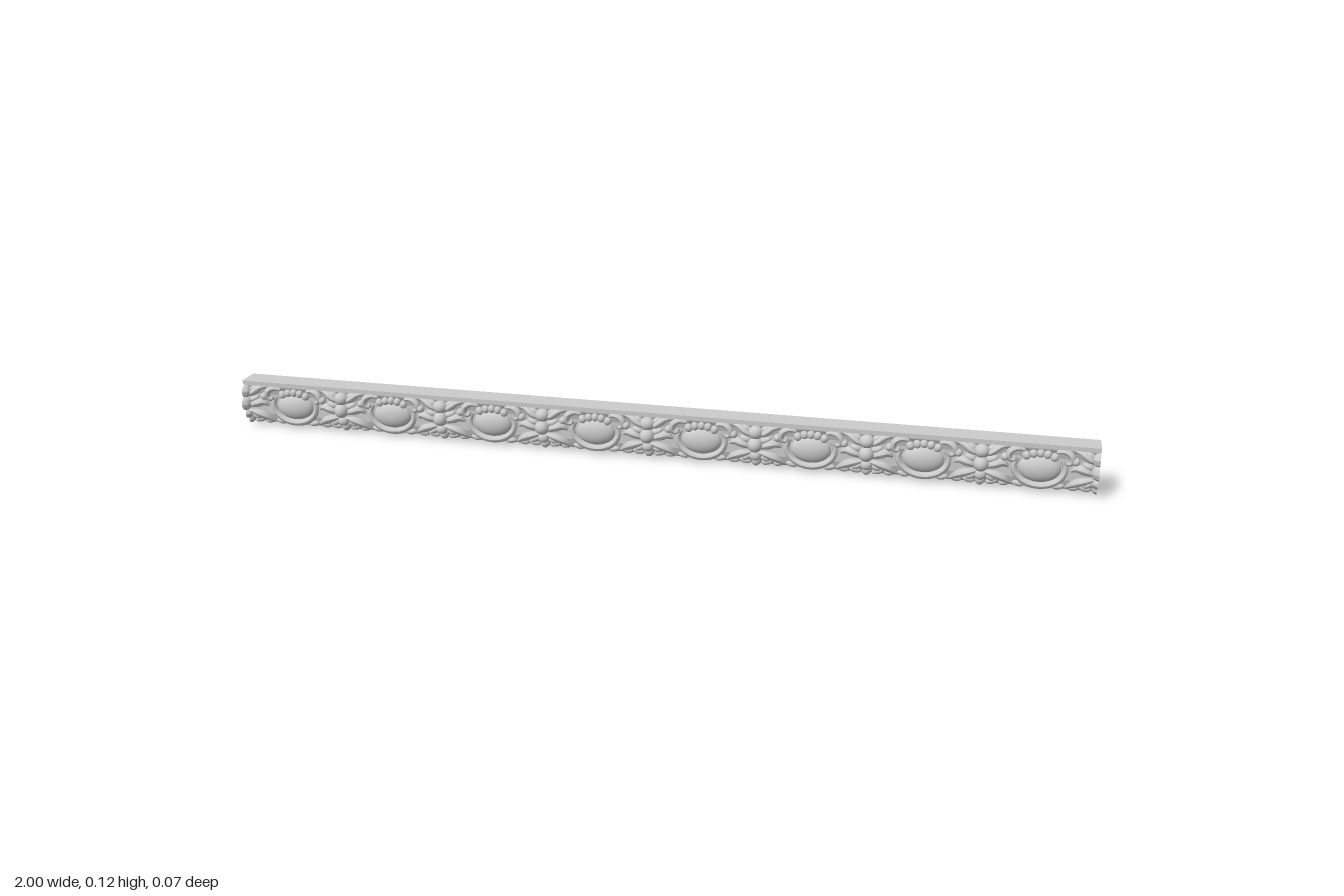
import * as THREE from 'three';
import { toCreasedNormals } from 'three/addons/utils/BufferGeometryUtils.js';

const UNITS = 8, PITCH = 0.25;
const material = new THREE.MeshStandardMaterial({ color: 0xcccccc });

// Trims a carved piece flat at the sawn ends and the underside
function trim(geometry) {
  const p = geometry.attributes.position;
  let cut = false;
  for (let i = 0; i < p.count; i++) {
    if (Math.abs(p.getX(i)) > 1) {
      p.setX(i, Math.sign(p.getX(i)));
      cut = true;
    }
    p.setY(i, Math.max(p.getY(i), 0.001));
  }
  return cut ? toCreasedNormals(geometry, 0.7) : geometry;
}

function add(group, name, geometry) {
  const mesh = new THREE.Mesh(trim(geometry), material);
  mesh.name = name;
  group.add(mesh);
}

// Rounded bump: centre, radii and turn in the face plane
function bump(group, name, [x, y, z], [rx, ry, rz], turn = 0, detail = 16) {
  const g = new THREE.SphereGeometry(1, detail, detail * 0.75);
  add(group, name, g.scale(rx, ry, rz).rotateZ(turn).translate(x, y, z));
}

// Tube along points that swells in the middle and thins toward its ends
function frond(group, name, points, radius, tip = 0.25) {
  const path = new THREE.CatmullRomCurve3(points.map((q) => new THREE.Vector3(...q)));
  const rings = 20, sides = 8;
  const g = new THREE.TubeGeometry(path, rings, radius, sides);
  const p = g.attributes.position, v = new THREE.Vector3();
  for (let i = 0; i <= rings; i++) {
    const c = path.getPointAt(i / rings);
    const k = tip + (1 - tip) * Math.sin(Math.PI * i / rings);
    for (let j = 0; j <= sides; j++) {
      const n = i * (sides + 1) + j;
      v.fromBufferAttribute(p, n).sub(c).multiplyScalar(k).add(c);
      p.setXYZ(n, v.x, v.y, v.z);
    }
  }
  g.computeVertexNormals();
  add(group, name, g);
}

// Plain moulding with its top fillet, as [z, y] cross-section
function moulding(group) {
  const shape = new THREE.Shape([
    [-0.034, 0], [-0.022, 0], [-0.012, 0.007], [-0.002, 0.018], [0.002, 0.03],
    [0.002, 0.08], [0.006, 0.094], [0.01, 0.101], [0.011, 0.106],
    [0.021, 0.107], [0.021, 0.117], [-0.034, 0.117],
  ].map(([z, y]) => new THREE.Vector2(-z, y)));
  const g = new THREE.ExtrudeGeometry(shape, { depth: 2, bevelEnabled: false });
  g.translate(0, 0, -1).rotateY(Math.PI / 2);
  add(group, 'moulding', g);
}

// Egg in its cup, with a lobed crest and side leaves
function eggUnit(x) {
  const g = new THREE.Group();
  g.name = 'eggUnit';
  bump(g, 'egg', [x, 0.054, 0.001], [0.046, 0.032, 0.02], 0, 28);

  // Cup rim passing under the egg
  const rim = [];
  for (let i = 0; i <= 10; i++) {
    const a = Math.PI * (0.83 + 1.34 * i / 10);
    rim.push([x + 0.055 * Math.cos(a), 0.056 + 0.041 * Math.sin(a), 0.006]);
  }
  frond(g, 'cupRim', rim, 0.0085, 0.6);

  // Crest of lobes over the egg
  for (let i = -2; i <= 2; i++) {
    bump(g, 'crestLobe', [x + i * 0.015, 0.091 - 0.0018 * i * i, 0.008], [0.009, 0.01, 0.009], -i * 0.25, 12);
  }

  for (const s of [-1, 1]) {
    const at = (dx, y, z) => [x + s * dx, y, z];
    // Scroll curling in at each upper corner of the cup
    frond(g, 'upperScroll', [at(0.034, 0.097, 0.01), at(0.052, 0.1, 0.013), at(0.066, 0.09, 0.014),
      at(0.066, 0.076, 0.013), at(0.056, 0.073, 0.012), at(0.053, 0.081, 0.012)], 0.008, 0.5);
    // Leaves sweeping from the bead cluster toward the cup
    frond(g, 'upperLeaf', [at(0.122, 0.077, 0.012), at(0.104, 0.087, 0.015), at(0.086, 0.099, 0.012), at(0.072, 0.102, 0.009)], 0.009);
    frond(g, 'middleLeaf', [at(0.118, 0.05, 0.012), at(0.097, 0.06, 0.015), at(0.08, 0.063, 0.012), at(0.066, 0.055, 0.008)], 0.011);
    frond(g, 'lowerLeaf', [at(0.12, 0.04, 0.01), at(0.1, 0.036, 0.012), at(0.08, 0.028, 0.008), at(0.058, 0.012, -0.003)], 0.01);
    // Small leaves folded over the lower edge
    for (let i = 0; i < 4; i++) {
      const d = 0.015 + i * 0.028;
      bump(g, 'edgeLeaf', at(d, 0.013, -0.006), [0.015, 0.008, 0.009], s * (i < 2 ? 0.2 : -0.3), 12);
    }
  }
  return g;
}

// Stacked beads and flanking petals between two eggs
function beadCluster(x) {
  const g = new THREE.Group();
  g.name = 'beadCluster';
  bump(g, 'topBead', [x, 0.088, 0.014], [0.017, 0.0155, 0.016], 0, 20);
  bump(g, 'middleBead', [x, 0.059, 0.017], [0.017, 0.0175, 0.018], 0, 20);
  bump(g, 'lowerBead', [x, 0.031, 0.008], [0.014, 0.013, 0.013], 0, 20);
  bump(g, 'footLeaf', [x, 0.014, -0.006], [0.011, 0.013, 0.012]);
  for (const s of [-1, 1]) {
    if (Math.abs(x + s * 0.03) > 1) continue;
    bump(g, 'upperPetal', [x + s * 0.022, 0.096, 0.01], [0.013, 0.007, 0.009], s * 0.45, 12);
    bump(g, 'sidePetal', [x + s * 0.023, 0.071, 0.012], [0.014, 0.008, 0.01], s * 0.35, 12);
    bump(g, 'sideBead', [x + s * 0.05, 0.079, 0.013], [0.009, 0.009, 0.011], 0, 12);
    bump(g, 'lowerPetal', [x + s * 0.02, 0.025, 0.002], [0.014, 0.008, 0.01], -s * 0.5, 12);
  }
  return g;
}

export function createModel() {
  const model = new THREE.Group();
  model.name = 'carvedMoulding';
  moulding(model);
  for (let i = 0; i < UNITS; i++) model.add(eggUnit(-1 + (i + 0.5) * PITCH));
  for (let i = 0; i <= UNITS; i++) model.add(beadCluster(-1 + i * PITCH));
  return model;
}
